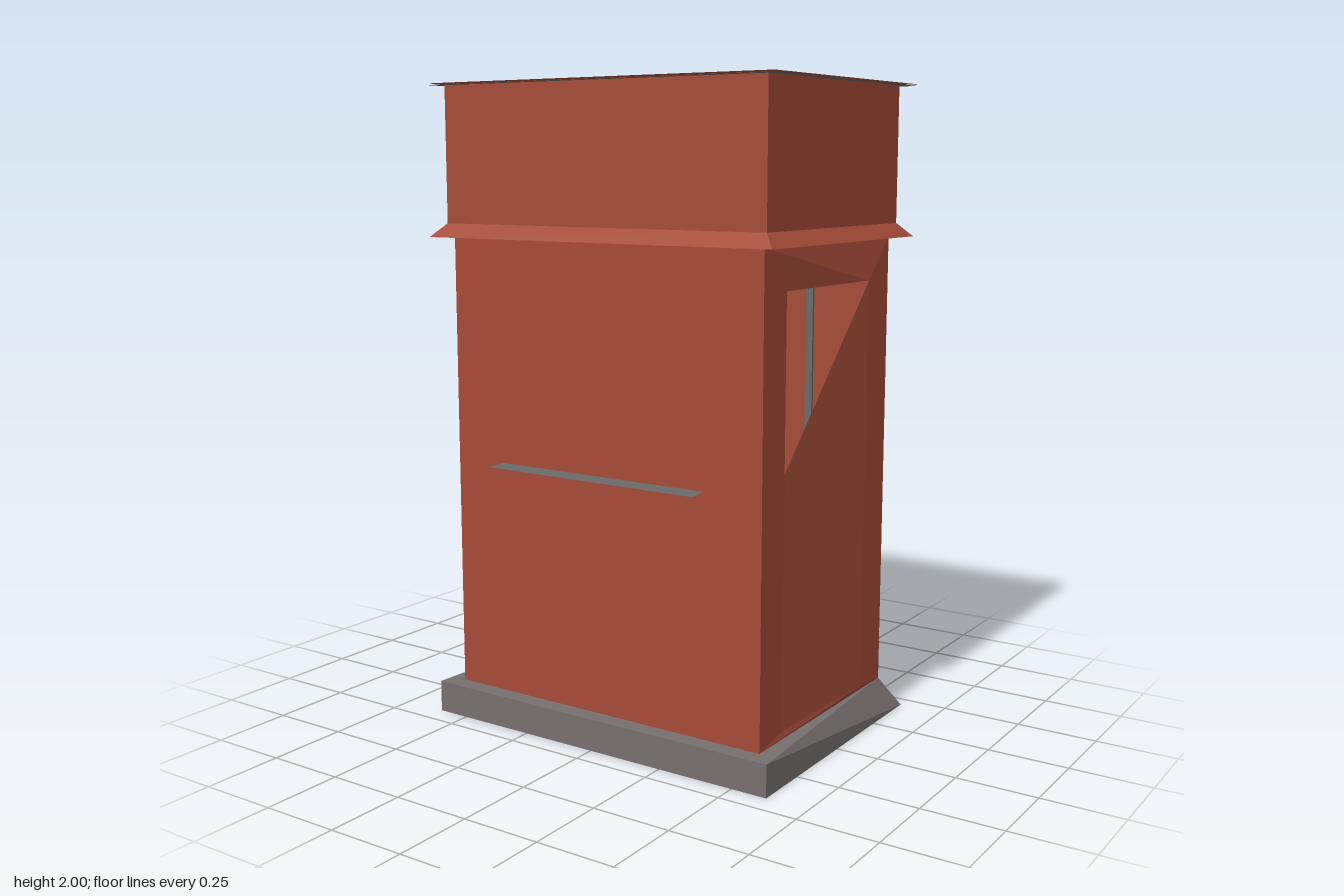
import * as THREE from 'three';

export function createModel() {
  const model = new THREE.Group();
  const material = (name, color, side = THREE.FrontSide) => {
    const m = new THREE.MeshStandardMaterial({ color, side });
    m.name = name;
    return m;
  };
  const red = material('brickRed', 0xa54b38, THREE.DoubleSide);
  const stone = material('warmGrey', 0x766f6f);
  const grey = material('trimGrey', 0x6a6a69);
  const dark = material('handleGrey', 0x4c4c4c);

  // Flat faces (three or four corners each), counter-clockwise from outside
  function faces(name, mat, list, parent = model) {
    const pos = [];
    for (const f of list) {
      for (let i = 1; i < f.length - 1; i++) pos.push(...f[0], ...f[i], ...f[i + 1]);
    }
    const g = new THREE.BufferGeometry();
    g.setAttribute('position', new THREE.Float32BufferAttribute(pos, 3));
    g.computeVertexNormals();
    const mesh = new THREE.Mesh(g, mat);
    mesh.name = name;
    parent.add(mesh);
    return mesh;
  }
  // Rectangle corners: front-left, front-right, back-right, back-left on screen
  const rect = (x0, x1, z0, z1, y) => [[x0, y, z1], [x1, y, z1], [x1, y, z0], [x0, y, z0]];
  const sides = (b, t) => b.map((p, i) => [p, b[(i + 1) % 4], t[(i + 1) % 4], t[i]]);
  const flip = (f) => [...f].reverse();
  function box(name, mat, x0, x1, y0, y1, z0, z1, parent = model) {
    const mesh = new THREE.Mesh(new THREE.BoxGeometry(x1 - x0, y1 - y0, z1 - z0), mat);
    mesh.position.set((x0 + x1) / 2, (y0 + y1) / 2, (z0 + z1) / 2);
    mesh.name = name;
    parent.add(mesh);
  }

  // Plinth: straight at the front, sloping in to the body at the back
  const foot = rect(-0.605, 0.615, -0.45, 0.43, 0);
  const footTop = [[-0.605, 0.1, 0.43], [0.615, 0.1, 0.43], [0.56, 0.1, -0.39], [-0.55, 0.1, -0.39]];
  const footSides = sides(foot, footTop);
  footSides[1] = [...footSides[1].slice(1), footSides[1][0]];
  faces('plinth', stone, [...footSides, footTop]);
  faces('plinthUnderside', grey, [flip(foot)]);

  // Body walls, the +x wall is made separately around the doorway
  const bodyLow = rect(-0.55, 0.56, -0.39, 0.375, 0.1);
  const bodyHigh = rect(-0.55, 0.56, -0.39, 0.375, 1.535);
  const walls = sides(bodyLow, bodyHigh);
  faces('bodyWalls', red, [walls[0], walls[2], walls[3]]);

  // Doorway wall with a bulging rear edge and a slanted opening
  const [A, D, C, B] = walls[1];
  const P = [0.56, 0.125, 0.25], Q = [0.56, 1.41, 0.25];
  const R = [0.58, 1.41, -0.22], S = [0.58, 0.13, -0.22], M = [0.56, 0.89, 0.25];
  faces('doorwayWall', red, [[A, P, Q, B], [B, Q, R, C], [C, R, S, D], [A, D, S, P]]);
  faces('doorwayPanel', red, [[P, S, R, M]]);

  // Jamb and inner posts seen through the opening
  box('doorwayJamb', grey, 0.525, 0.555, 0.125, 1.41, 0.25, 0.26);
  box('innerPostFront', grey, 0.26, 0.285, 0.1, 1.53, 0.36, 0.37);
  box('innerPostBack', grey, 0.28, 0.305, 0.1, 1.53, -0.385, -0.375);

  // Flared ledge, upper block and overhanging flat roof
  const ledgeLow = rect(-0.605, 0.615, -0.45, 0.43, 1.535);
  const ledgeTop = rect(-0.565, 0.575, -0.41, 0.39, 1.577);
  faces('ledge', red, sides(ledgeLow, ledgeTop));
  faces('ledgeUnderside', grey, [flip(ledgeLow)]);
  faces('upperBlock', red, sides(ledgeTop, rect(-0.565, 0.575, -0.41, 0.39, 1.998)));
  faces('roof', red, [rect(-0.605, 0.615, -0.455, 0.427, 2)]);
  faces('roofUnderside', grey, [flip(rect(-0.605, 0.615, -0.455, 0.427, 1.995))]);

  // Shelf on the front
  faces('shelf', grey, [[[-0.37, 0.84, 0.45], [0.38, 0.84, 0.45], [0.365, 0.84, 0.375], [-0.37, 0.84, 0.375]]]);

  // Door frame on the -x side
  const frame = new THREE.Group();
  frame.name = 'doorFrame';
  model.add(frame);
  for (const z of [-0.22, 0.24]) box('framePost', grey, -0.572, -0.548, 0.125, 1.415, z, z + 0.01, frame);
  box('frameTop', grey, -0.572, -0.548, 1.405, 1.415, -0.21, 0.24, frame);

  // Door handle: plate and a chamfered grip open towards the front
  box('handlePlate', grey, -0.583, -0.549, 0.77, 0.935, -0.16, -0.105);
  const gripLow = [[-0.62, 0.77, -0.105], [-0.58, 0.77, -0.105], [-0.58, 0.77, -0.16], [-0.62, 0.77, -0.14]];
  const gripHigh = gripLow.map(([x, y, z]) => [x, x < -0.6 ? 0.91 : 0.935, z]);
  const grip = sides(gripLow, gripHigh);
  faces('handleGrip', dark, [grip[2], grip[3], gripHigh, flip(gripLow)]);

  return model;
}
